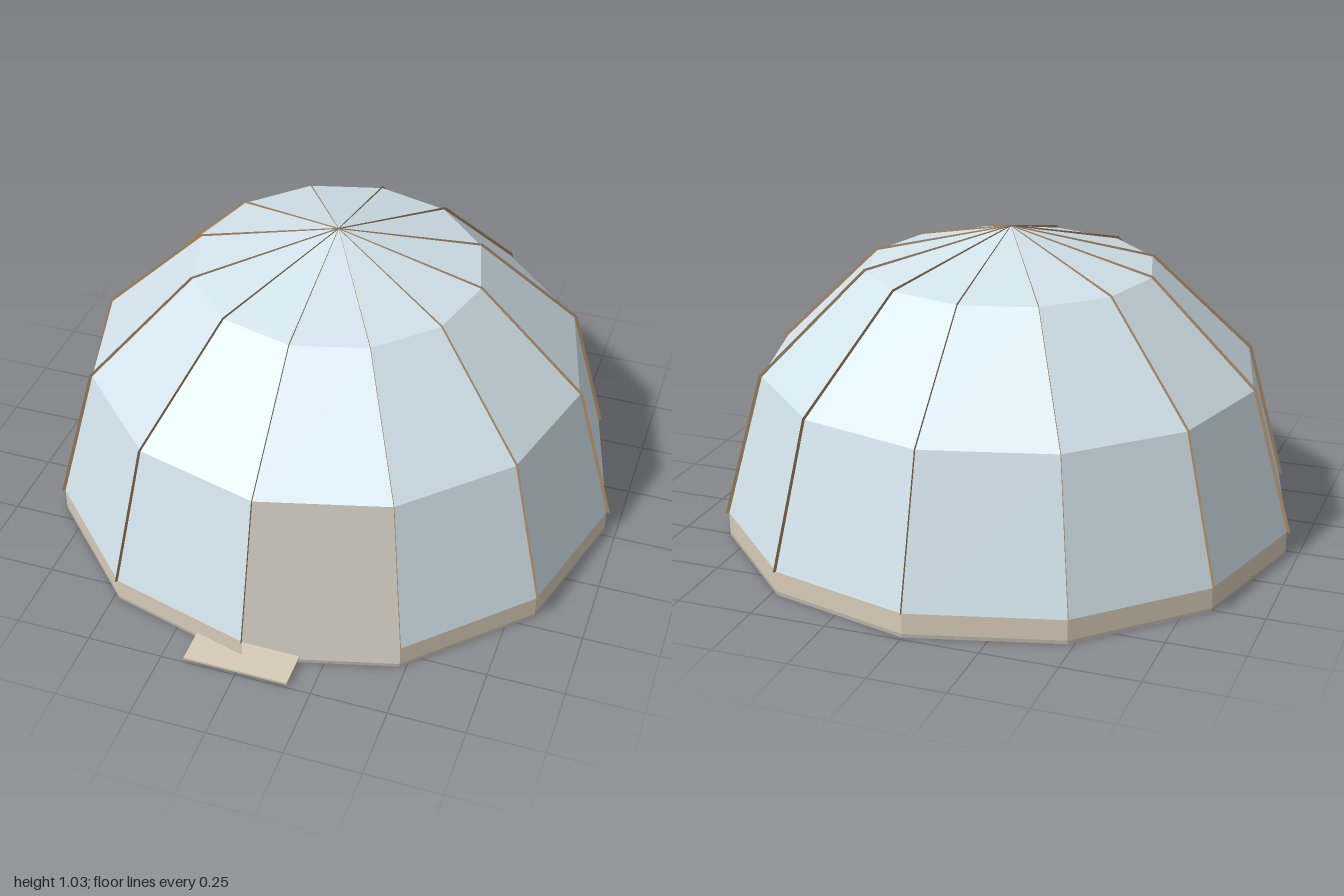
import * as THREE from 'three';

const SIDES = 12;
const STEP = (Math.PI * 2) / SIDES;
const CENTER_Z = -0.028;

const paint = (color) => new THREE.MeshStandardMaterial({ color, flatShading: true, side: THREE.DoubleSide });

export function createModel() {
  const model = new THREE.Group();
  const dome = new THREE.Group();
  dome.name = 'dome';
  dome.position.z = CENTER_Z;
  model.add(dome);

  const skin = paint(0xd2e2ea);
  const timber = paint(0xd8ccb8);
  const ribMaterial = paint(0xa98a68);
  const floorMaterial = paint(0xb8b2aa);

  const add = (parent, name, geometry, material) => {
    const mesh = new THREE.Mesh(geometry, material);
    mesh.name = name;
    parent.add(mesh);
    return mesh;
  };

  // One faceted ring of the shell; skipping the first facet leaves the doorway
  const band = (name, [r0, y0], [r1, y1], material, doorway) => {
    const first = doorway ? 1 : 0;
    const geometry = new THREE.CylinderGeometry(r1, r0, y1 - y0, SIDES - first, 1, true,
      first * STEP, (SIDES - first) * STEP);
    add(dome, name, geometry, material).position.y = (y0 + y1) / 2;
  };

  // Shell profile as radius, height
  const profile = [[0.96, 0.08], [0.83, 0.557], [0.48, 0.9], [0, 1.028]];
  band('curb', [0.96, 0.012], profile[0], timber, true);
  band('wallPanels', profile[0], profile[1], skin, true);
  band('shoulderPanels', profile[1], profile[2], skin, false);
  band('roofPanels', profile[2], profile[3], skin, false);

  // Floor slab
  add(dome, 'floor', new THREE.CylinderGeometry(0.96, 0.96, 0.012, SIDES), floorMaterial).position.y = 0.006;

  // Thin radial fins along every seam
  const outer = [[0, 1.032], [0.486, 0.907], [0.84, 0.562], [0.972, 0.08]];
  const fin = new THREE.Shape([...profile, ...outer].map(([r, y]) => new THREE.Vector2(r, y)));
  const finGeometry = new THREE.ShapeGeometry(fin);
  for (let i = 0; i < SIDES; i++) {
    add(dome, 'rib', finGeometry, ribMaterial).rotation.y = i * STEP;
  }

  // Doorstep plate
  const doorstep = add(model, 'doorstep', new THREE.BoxGeometry(0.345, 0.008, 0.12), timber);
  doorstep.position.set(0, 0.017, 0.94);

  return model;
}
